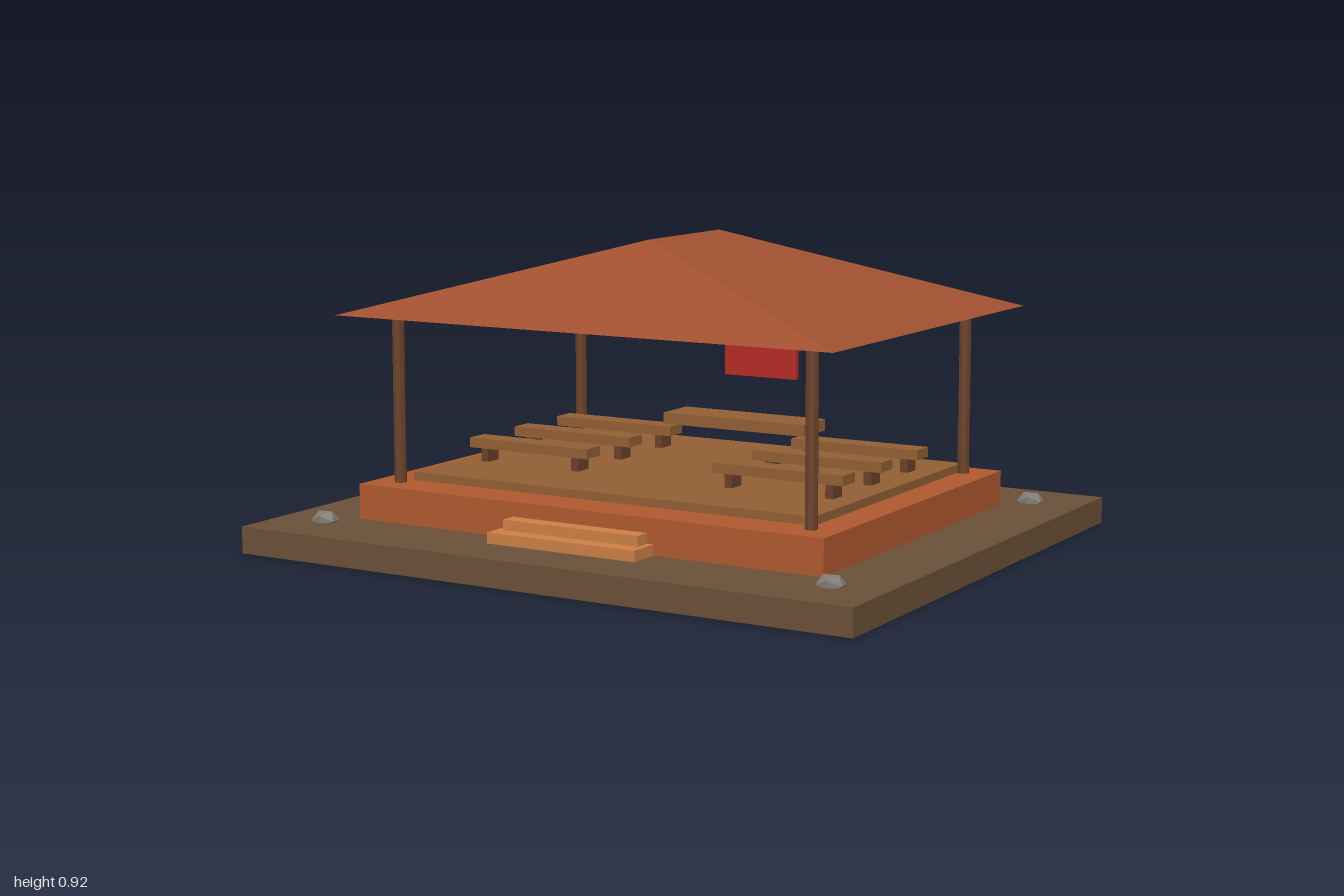
import * as THREE from 'three';

const mat = (color, extra = {}) => new THREE.MeshStandardMaterial({ color, flatShading: true, ...extra });
const earth = mat(0x6b5038);
const clay = mat(0xb0582f);
const tile = mat(0xa0502f, { side: THREE.DoubleSide });
const stepWood = mat(0xcd7f45);
const plank = mat(0x925f35);
const darkWood = mat(0x6b412a);
const red = mat(0xb52b24);
const stone = mat(0x807c74);

export function createModel() {
  const model = new THREE.Group();

  const add = (name, geometry, material, x = 0, y = 0, z = 0, parent = model) => {
    const mesh = new THREE.Mesh(geometry, material);
    mesh.name = name;
    mesh.position.set(x, y, z);
    parent.add(mesh);
    return mesh;
  };
  // Box given by its extents along each axis
  const box = (name, material, [x0, x1], [y0, y1], [z0, z1], parent) =>
    add(name, new THREE.BoxGeometry(x1 - x0, y1 - y0, z1 - z0), material,
      (x0 + x1) / 2, (y0 + y1) / 2, (z0 + z1) / 2, parent);

  // Ground, raised platform, floor and entrance steps
  box('ground', earth, [-1, 1], [0, 0.08], [-0.855, 0.855]);
  box('platform', clay, [-0.775, 0.775], [0.08, 0.185], [-0.585, 0.585]);
  box('floor', plank, [-0.675, 0.675], [0.185, 0.21], [-0.52, 0.45]);
  box('lowerStep', stepWood, [-0.245, 0.245], [0.08, 0.112], [0.585, 0.685]);
  box('upperStep', stepWood, [-0.225, 0.225], [0.112, 0.142], [0.585, 0.635]);

  // Corner posts and stones
  for (const sx of [-1, 1]) {
    for (const sz of [-1, 1]) {
      add('post', new THREE.CylinderGeometry(0.0185, 0.0185, 0.515, 8), darkWood, sx * 0.69, 0.4425, sz * 0.495);
      const rock = add('stone', new THREE.IcosahedronGeometry(0.043, 0), stone, sx * 0.84, 0.085, sz * 0.667);
      rock.scale.set(1, 0.7, 0.9);
      rock.rotation.y = 0.15;
    }
  }

  // Benches in three rows either side of the aisle
  for (const side of [-1, 1]) {
    for (const z of [0.173, -0.069, -0.311]) {
      const bench = new THREE.Group();
      bench.name = 'bench';
      bench.position.set(side * 0.428, 0, z);
      box('seat', plank, [-0.212, 0.212], [0.252, 0.282], [-0.0375, 0.0375], bench);
      for (const x of [-0.164, 0.164])
        box('benchLeg', darkWood, [x - 0.0125, x + 0.0125], [0.21, 0.252], [-0.028, 0.028], bench);
      model.add(bench);
    }
  }

  // Table top and hanging panel at the back
  box('tableTop', plank, [-0.25, 0.25], [0.287, 0.323], [-0.432, -0.292]);
  box('panel', red, [-0.127, 0.127], [0.432, 0.588], [-0.485, -0.467]);

  // Open hipped roof with the ridge running front to back
  const w = 0.82, d = 0.628, eave = 0.69, top = 0.917, r = 0.203;
  const roof = new THREE.BufferGeometry();
  roof.setAttribute('position', new THREE.Float32BufferAttribute([
    -w, eave, d, w, eave, d, w, eave, -d, -w, eave, -d, // eave corners
    0, top, r, 0, top, -r, // ridge ends
  ], 3));
  roof.setIndex([0, 1, 4, 1, 2, 5, 1, 5, 4, 2, 3, 5, 3, 0, 4, 3, 4, 5]);
  const flatRoof = roof.toNonIndexed();
  flatRoof.computeVertexNormals();
  add('roof', flatRoof, tile);

  return model;
}
